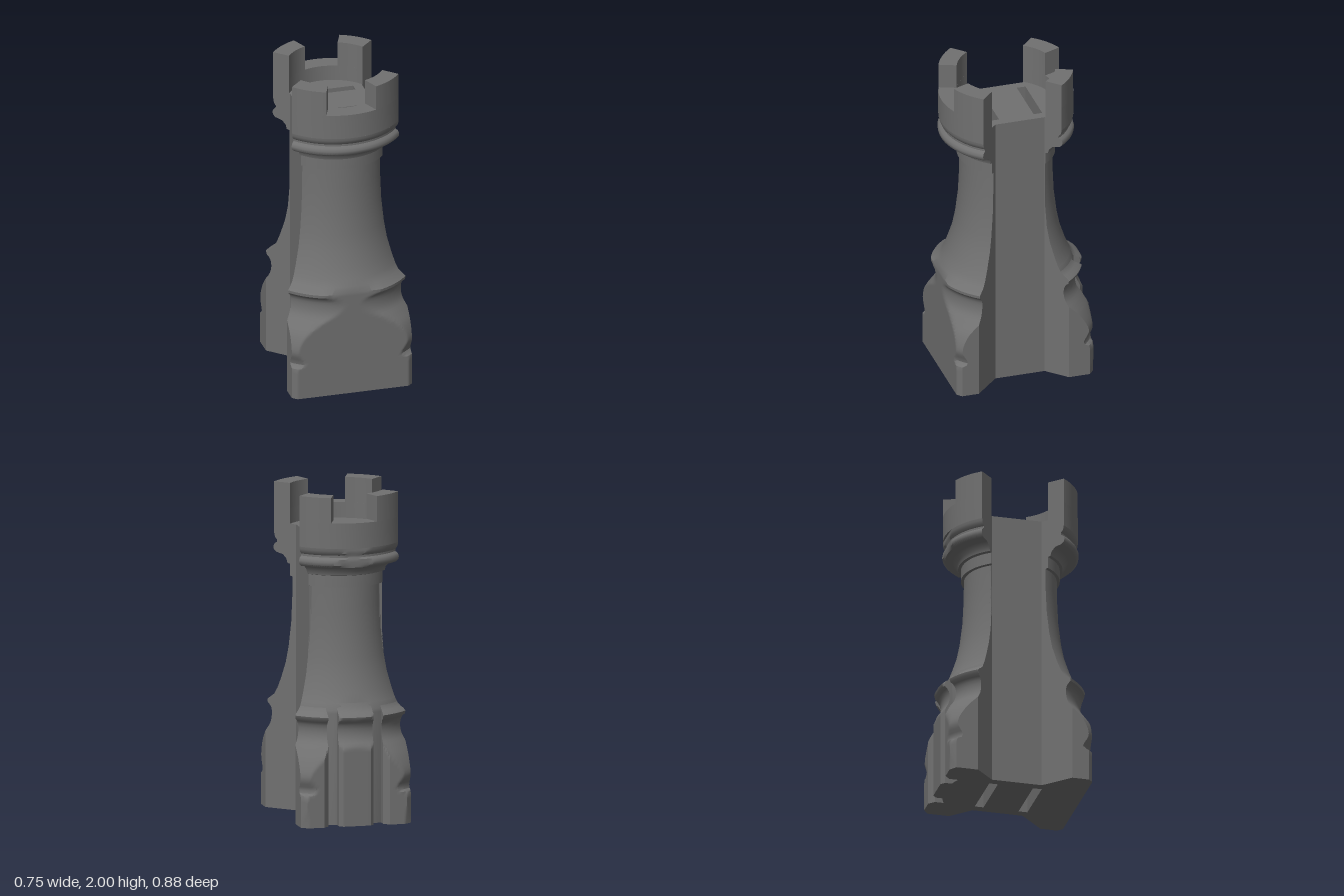
import * as THREE from 'three';
import { toCreasedNormals } from 'three/addons/utils/BufferGeometryUtils.js';

const material = new THREE.MeshStandardMaterial({ color: 0x707070 });
const WAIST = 0.07; // the side cuts follow the diagonal x = z + WAIST

// x where a circle of radius r meets the diagonal side cut
const cutX = r => (Math.sqrt(2 * r * r - WAIST * WAIST) + WAIST) / 2;

function mesh(geometry, name) {
  const m = new THREE.Mesh(geometry, material);
  m.name = name;
  return m;
}

// Smooth foot profile through a few [y, radius] points
function smooth(points, n = 40) {
  const curve = new THREE.CatmullRomCurve3(points.map(([y, r]) => new THREE.Vector3(r, y, 0)), false, 'centripetal');
  return curve.getSpacedPoints(n).map(p => [p.y, p.x]);
}

// Stack of round sections [y, radius], trimmed to x = a..b, a flat front and chamfered corners
function turned(name, rings, { a, b, zMax = 0.438, edge = 0.41, inner }, n = 60) {
  const cutsRight = b > 0.2, cutsLeft = a < -0.2;
  const sections = rings.map(([y, r]) => {
    const reach = Math.max(cutX(r), inner + WAIST);
    const x0 = Math.max(a, -reach), x1 = Math.min(b, reach);
    const outer = [];
    for (let i = 0; i <= n; i++) {
      const u = Math.sin((i / n - 0.5) * Math.PI); // denser towards the corners
      const x = (x0 + x1) / 2 + u * (x1 - x0) / 2;
      const z = Math.min(Math.sqrt(Math.max(r * r - x * x, 0)), zMax, edge + Math.min(x - a, b - x));
      outer.push([x, Math.max(z, inner)]);
    }
    const left = cutsLeft ? [[-(inner + WAIST), inner], [x0, -x0 - WAIST]] : [[x0, inner]];
    const right = cutsRight ? [[x1, x1 - WAIST], [inner + WAIST, inner]] : [[x1, inner]];
    return [...left, ...outer, ...right].map(([x, z]) => [x, y, z]);
  });
  const size = sections[0].length, last = sections.length - 1;
  const index = [];
  for (let j = 0; j < last; j++) {
    for (let i = 0; i < size; i++) {
      const p = j * size + i, q = j * size + (i + 1) % size;
      index.push(p, q, q + size, p, q + size, p + size);
    }
  }
  // caps
  const points = sections.flat();
  [0, last].forEach((j, k) => {
    const s = sections[j], c = points.length;
    points.push([0, 1, 2].map(d => s.reduce((t, p) => t + p[d], 0) / size));
    for (let i = 0; i < size; i++) {
      const p = j * size + i, q = j * size + (i + 1) % size;
      if (k) index.push(c, p, q); else index.push(c, q, p);
    }
  });
  const g = new THREE.BufferGeometry();
  g.setAttribute('position', new THREE.Float32BufferAttribute(points.flat(), 3));
  g.setIndex(index);
  return mesh(toCreasedNormals(g.toNonIndexed(), 0.7), name);
}

// Upright prism over an outline of [x, z] points
function prism(name, outline, y0, y1) {
  const shape = new THREE.Shape(outline.map(([x, z]) => new THREE.Vector2(x, -z)));
  const g = new THREE.ExtrudeGeometry(shape, { depth: y1 - y0, bevelEnabled: false });
  g.rotateX(-Math.PI / 2);
  g.translate(0, y0, 0);
  return mesh(toCreasedNormals(g, 0.5), name);
}

// Curved wall between two radii; each end is an angle, or null for the side cut
function wall(name, ri, ro, from, to, y0, y1) {
  const arc = r => {
    const end = Math.asin(cutX(r) / r);
    const t0 = from ?? -end, t1 = to ?? end;
    return Array.from({ length: 25 }, (_, i) => {
      const t = t0 + (t1 - t0) * i / 24;
      return [r * Math.sin(t), r * Math.cos(t)];
    });
  };
  return prism(name, [...arc(ro), ...arc(ri).reverse()], y0, y1);
}

// Battlements: low parapet with two merlons
function crown(ri, ro) {
  const g = new THREE.Group();
  g.name = 'crown';
  const gap = 0.375;
  g.add(wall('parapet', ri, ro, null, null, 1.69, 1.845));
  g.add(wall('merlonLeft', ri, ro, gap, null, 1.845, 2));
  g.add(wall('merlonRight', ri, ro, null, -gap, 1.845, 2));
  return g;
}

// Column, collar, ring and crown foot, ending in the floor inside the crown
const upper = [
  [0.7, 0.425], [0.74, 0.402], [0.8, 0.378], [0.9, 0.345], [1.0, 0.325], [1.15, 0.307], [1.3, 0.3],
  [1.43, 0.298], [1.433, 0.316], [1.505, 0.316], [1.51, 0.333], [1.535, 0.34], [1.56, 0.365],
  [1.57, 0.41], [1.585, 0.427], [1.605, 0.43], [1.622, 0.422], [1.632, 0.405], [1.645, 0.405],
  [1.658, 0.417], [1.675, 0.423], [1.69, 0.425], [1.692, 0.4], [1.75, 0.4]
];

export function createModel() {
  const model = new THREE.Group();

  // Front tower with its broad foot
  const front = new THREE.Group();
  front.name = 'frontTower';
  const frontFoot = smooth([
    [0, 0.56], [0.19, 0.56], [0.215, 0.53], [0.3, 0.555], [0.4, 0.53], [0.47, 0.485], [0.52, 0.452],
    [0.57, 0.441], [0.62, 0.446], [0.65, 0.472], [0.665, 0.472]
  ]);
  front.add(turned('frontColumn', [...frontFoot, ...upper], { a: -0.376, b: 0.376, inner: 0.17 }));
  front.add(crown(0.315, 0.425));
  model.add(front);

  // Back tower, slightly slimmer, turned to face backwards
  const back = new THREE.Group();
  back.name = 'backTower';
  back.rotation.y = Math.PI;
  const slim = 0.037;
  const slimUpper = upper.map(([y, r]) => [y, r - slim]);
  back.add(turned('backColumn', [[0, 0.39], [0.68, 0.39], ...slimUpper],
    { a: -0.34, b: 0.34, zMax: 0.375, inner: 0.157 }));
  back.add(crown(0.28, 0.425 - slim));

  // Three foot lobes divided by upright grooves
  const lobe = smooth([
    [0, 0.53], [0.19, 0.53], [0.215, 0.5], [0.3, 0.525], [0.4, 0.49], [0.48, 0.44], [0.52, 0.413],
    [0.57, 0.401], [0.62, 0.41], [0.65, 0.438], [0.665, 0.44], [0.7, 0.39], [0.78, 0.345]
  ]);
  back.add(turned('footLobeCentre', lobe, { a: -0.108, b: 0.108, edge: 0.415, inner: 0.2 }, 24));
  back.add(turned('footLobeLeft', lobe, { a: 0.17, b: 0.342, edge: 0.405, inner: 0.16 }, 24));
  back.add(turned('footLobeRight', lobe, { a: -0.342, b: -0.17, edge: 0.405, inner: 0.16 }, 24));
  model.add(back);

  // Middle block, leaving an upright slot in front of each tower
  const zf = 0.17, zb = -0.157;
  const right = [[zf + WAIST, zf], [0.225, 0.155], [0.225, -0.155], [-zb + WAIST, zb], [0.17, zb], [0.17, -0.103]];
  const left = right.map(([x, z]) => [-x, z]).reverse();
  model.add(prism('middleBlock', [[0.17, 0.115], [0.17, zf], ...right, ...left, [-0.17, zf], [-0.17, 0.115]], 0, 1.75));

  return model;
}
